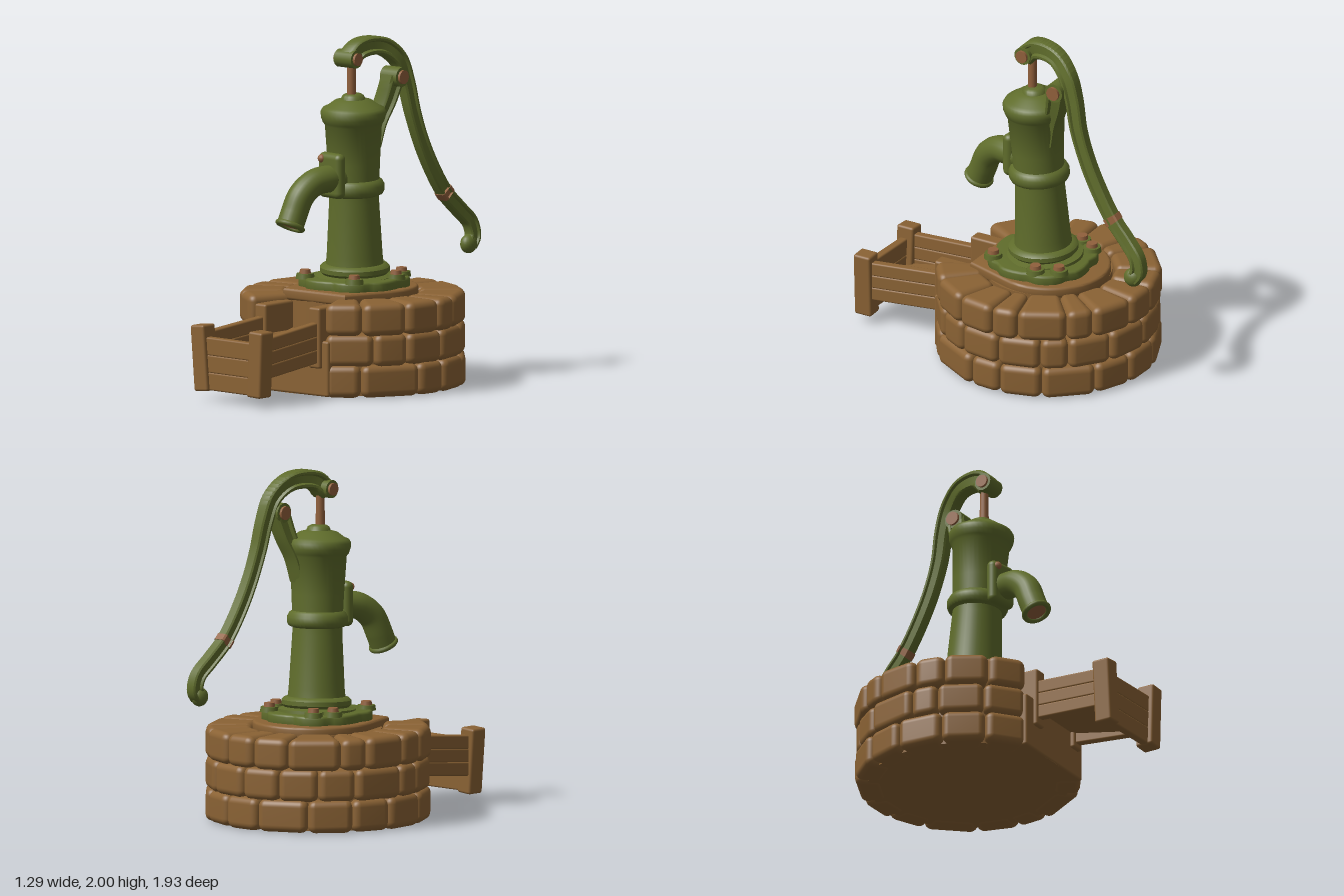
import * as THREE from 'three';
import { mergeVertices, toCreasedNormals } from 'three/addons/utils/BufferGeometryUtils.js';
import { RoundedBoxGeometry } from 'three/addons/geometries/RoundedBoxGeometry.js';

const V = (x, y, z) => new THREE.Vector3(x, y, z);

export function createModel() {
  const model = new THREE.Group();
  const material = (name, color) => {
    const m = new THREE.MeshStandardMaterial({ color });
    m.name = name;
    return m;
  };
  const green = material('green iron', 0x5f6c2b);
  const brown = material('brown stone and wood', 0x8a6234);
  const rust = material('rust', 0x91603c);

  let seed = 7;
  const rand = () => (seed = (seed * 16807) % 2147483647) / 2147483647;

  const add = (name, geo, mat, x = 0, y = 0, z = 0, parent = model) => {
    const mesh = new THREE.Mesh(geo, mat);
    mesh.name = name;
    mesh.position.set(x, y, z);
    parent.add(mesh);
    return mesh;
  };
  const block = (name, w, h, d, x, y, z, r = 0.014) =>
    add(name, new RoundedBoxGeometry(w, h, d, 2, r), brown, x, y, z);
  // Board running from one point to another
  const board = (name, a, b, thick, height) => {
    const c = a.clone().add(b).multiplyScalar(0.5);
    block(name, thick, height, a.distanceTo(b), c.x, c.y, c.z, 0.01).lookAt(b);
  };
  const shapeFrom = (pts) => new THREE.Shape(pts.map(([x, z]) => new THREE.Vector2(x, -z)));
  const slab = (name, pts, mat, y0, y1, bevel) => {
    const geo = new THREE.ExtrudeGeometry(shapeFrom(pts), {
      depth: y1 - y0 - 2 * bevel, bevelThickness: bevel, bevelSize: bevel,
      bevelOffset: -bevel, bevelSegments: 3,
    }).rotateX(-Math.PI / 2);
    return add(name, toCreasedNormals(geo, 0.7), mat, 0, y0 + bevel, 0);
  };

  // Bar with a grooved I section, swept along a curve that bends in the yz plane
  const section = [[1, -0.8], [1, -0.55], [0.62, -0.4], [0.62, 0.4], [1, 0.55], [1, 0.8], [0.75, 1],
    [-0.75, 1], [-1, 0.8], [-1, 0.55], [-0.62, 0.4], [-0.62, -0.4], [-1, -0.55], [-1, -0.8],
    [-0.75, -1], [0.75, -1]];
  const sweep = (curve, steps, t0, t1, halfW, halfH) => {
    const pos = [], idx = [], n = section.length, side = V(1, 0, 0);
    for (let i = 0; i <= steps; i++) {
      const t = t0 + (t1 - t0) * i / steps;
      const p = curve.getPoint(t);
      const normal = curve.getTangent(t).cross(side).normalize();
      section.forEach(([a, b], j) => {
        const q = p.clone().addScaledVector(side, a * halfW(t)).addScaledVector(normal, b * halfH(t));
        pos.push(q.x, q.y, q.z);
        if (i < steps) {
          const k = i * n + j, l = i * n + (j + 1) % n;
          idx.push(k, l, l + n, k, l + n, k + n);
        }
      });
    }
    // End caps
    for (let j = 1; j < n - 1; j++) {
      const e = steps * n;
      idx.push(0, j + 1, j, e, e + j, e + j + 1);
    }
    const geo = new THREE.BufferGeometry();
    geo.setAttribute('position', new THREE.Float32BufferAttribute(pos, 3));
    geo.setIndex(idx);
    return toCreasedNormals(geo, 0.75);
  };

  // Stone: a rounded block bent round the well axis
  const wellZ = -0.17;
  const stone = (angle, span, y, h, outer, depth) => {
    const R = outer - depth / 2;
    let geo = new RoundedBoxGeometry(span * R, h, depth, 4, 0.042);
    geo.deleteAttribute('normal');
    geo.deleteAttribute('uv');
    geo = mergeVertices(geo);
    const p = geo.attributes.position;
    for (let i = 0; i < p.count; i++) {
      const a = angle + p.getX(i) / R, r = R + p.getZ(i);
      p.setXYZ(i, Math.sin(a) * r, p.getY(i), Math.cos(a) * r);
    }
    geo.computeVertexNormals();
    add('wellStone', geo, brown, 0, y, wellZ);
  };
  for (let row = 0; row < 3; row++) {
    const count = [13, 14, 15][row], start = 0.44, total = Math.PI * 2 - 0.9;
    const cuts = [0];
    for (let i = 1; i < count; i++) cuts.push((i + (rand() - 0.5) * 0.4) / count);
    cuts.push(1);
    for (let i = 0; i < count; i++) {
      const a = start + cuts[i] * total, b = start + cuts[i + 1] * total;
      stone((a + b) / 2, b - a + 0.004, 0.09 + row * 0.177, 0.183 + rand() * 0.006,
        0.64 + rand() * 0.01 - (row === 1 ? 0.006 : 0), row === 2 ? 0.27 : 0.16);
    }
  }
  add('wellCore', new THREE.CylinderGeometry(0.575, 0.575, 0.33, 48), brown, 0, 0.168, wellZ);
  add('wellFoot', new THREE.CylinderGeometry(0.366, 0.366, 0.5, 48), brown, 0, 0.27, wellZ);
  block('wellFront', 0.6, 0.32, 0.25, 0, 0.163, 0.285);

  // Stone cover plate with a straight front edge
  const plate = [[-0.21, 0.2], [0.25, 0.2], [0.32, 0.09]];
  for (let i = 0; i <= 24; i++) {
    const a = -0.35 + (Math.PI + 0.7) * i / 24;
    plate.push([0.015 + 0.345 * Math.cos(a), -0.195 - 0.345 * Math.sin(a)]);
  }
  plate.splice(2, 1);
  slab('coverPlate', plate, brown, 0.5, 0.565, 0.015);

  // Lobed iron foot and its bolts
  const lobes = [];
  for (let i = 0; i < 64; i++) {
    const a = i / 64 * Math.PI * 2;
    const r = 0.293 + 0.025 * Math.abs(Math.sin(2 * a)) - 0.022 * Math.pow(Math.cos(4 * a + 0.9), 8);
    lobes.push([0.025 + r * Math.cos(a), -0.15 + r * Math.sin(a)]);
  }
  slab('pumpFoot', lobes, green, 0.55, 0.618, 0.015);
  for (const [x, z] of [[-0.15, -0.37], [-0.21, -0.27], [0.26, -0.24], [-0.16, 0.065], [0.21, 0.07], [0.2, -0.36]]) {
    add('boltBoss', new THREE.CylinderGeometry(0.05, 0.055, 0.03, 16), green, x, 0.625, z);
    add('footBolt', new THREE.CylinderGeometry(0.03, 0.036, 0.035, 12), rust, x, 0.645, z);
  }

  // Pump column, leaning slightly
  const profile = [[0.23, -0.04], [0.225, 0.005], [0.185, 0.015], [0.2, 0.03], [0.2, 0.055], [0.185, 0.07],
    [0.165, 0.075], [0.16, 0.12], [0.143, 0.43], [0.142, 0.47], [0.165, 0.48], [0.175, 0.5], [0.175, 0.53],
    [0.162, 0.555], [0.146, 0.565], [0.15, 0.66], [0.163, 0.88], [0.175, 0.895], [0.185, 0.925],
    [0.187, 0.955], [0.175, 0.975], [0.15, 0.985], [0.11, 1.015], [0.07, 1.025], [0.062, 1.045],
    [0.045, 1.055], [0, 1.058]];
  const column = add('pumpColumn', toCreasedNormals(
    new THREE.LatheGeometry(profile.map(([r, y]) => new THREE.Vector2(r, y)), 40), 0.7),
  green, 0.025, 0.62, -0.155);
  column.rotation.set(0.045, 0, -0.025);
  add('pistonRod', new THREE.CylinderGeometry(0.024, 0.027, 0.26, 16), rust, 0.05, 1.76, -0.095);

  // Spout with wall flange and open mouth
  const spoutEnd = V(-0.055, 0.95, 0.322);
  const spoutPath = new THREE.CatmullRomCurve3([V(0.03, 1.2, -0.05), V(0.02, 1.2, 0.06), V(-0.01, 1.185, 0.16),
    V(-0.035, 1.12, 0.245), V(-0.05, 1.02, 0.292), spoutEnd]);
  add('spout', new THREE.TubeGeometry(spoutPath, 28, 0.078, 20), green);
  const flange = add('spoutFlange', new RoundedBoxGeometry(0.19, 0.26, 0.07, 5, 0.034), green, 0.015, 1.215, 0.035);
  flange.rotation.y = -0.15;
  const lip = new THREE.Group();
  lip.name = 'spoutLip';
  lip.position.copy(spoutEnd);
  lip.quaternion.setFromUnitVectors(V(0, 0, 1), V(-0.06, -0.88, 0.42).normalize());
  model.add(lip);
  add('lipRing', new THREE.TorusGeometry(0.072, 0.016, 10, 24), green, 0, 0, 0, lip);
  add('mouth', new THREE.CircleGeometry(0.072, 24), rust, 0, 0, 0.002, lip);
  add('flangeBolt', new THREE.SphereGeometry(0.024, 12, 8), rust, -0.045, 1.31, 0.055);

  // Handle: a grooved bar arching over and down to a knob
  const handlePath = new THREE.CatmullRomCurve3([V(0.05, 1.87, -0.065), V(0.065, 1.925, -0.12),
    V(0.085, 1.945, -0.2), V(0.115, 1.93, -0.3), V(0.15, 1.85, -0.39), V(0.165, 1.72, -0.44),
    V(0.18, 1.55, -0.478), V(0.19, 1.37, -0.543), V(0.2, 1.2, -0.63), V(0.213, 1.05, -0.73),
    V(0.23, 0.95, -0.83), V(0.25, 0.865, -0.908), V(0.258, 0.785, -0.922), V(0.26, 0.74, -0.89)]);
  const w = (t) => 0.034 + 0.018 * Math.max(0, 1 - 2 * t);
  const h = (t) => 0.042 + 0.016 * Math.max(0, 1 - 2 * t);
  add('handle', sweep(handlePath, 70, 0, 1, w, h), green);
  add('handleBand', sweep(handlePath, 2, 0.68, 0.7, (t) => w(t) + 0.004, (t) => h(t) + 0.004), rust);
  add('handleKnob', new THREE.SphereGeometry(0.055, 20, 14), green, 0.258, 0.745, -0.885).scale.x = 0.8;

  // Bracket and the two pivots
  const bracket = new THREE.CatmullRomCurve3([V(0.08, 1.36, -0.235), V(0.1, 1.5, -0.26),
    V(0.13, 1.62, -0.3), V(0.16, 1.76, -0.335)]);
  add('bracket', sweep(bracket, 16, 0, 1, () => 0.05, (t) => 0.035 + 0.025 * t), green);
  const pivot = (name, x, y, z, r, len) => {
    const g = new THREE.Group();
    g.name = name;
    g.position.set(x, y, z);
    g.rotation.z = Math.PI / 2;
    model.add(g);
    add('pivotHub', new THREE.CylinderGeometry(r, r, len, 20), green, 0, 0, 0, g);
    add('pivotPin', new THREE.CylinderGeometry(r * 0.7, r * 0.7, len + 0.03, 16), rust, 0, 0, 0, g);
  };
  pivot('rodPivot', 0.05, 1.88, -0.065, 0.052, 0.13);
  pivot('handlePivot', 0.165, 1.76, -0.338, 0.057, 0.12);

  // Wooden trough: floor, planked sides, posts and end wall
  board('troughFloor', V(0.02, 0.325, 0.19), V(0.005, 0.18, 0.89), 0.4, 0.04);
  for (const s of [-1, 1]) {
    const x = s * 0.2 + 0.015;
    block('troughRail', 0.085, 0.35, 0.25, x, s > 0 ? 0.34 : 0.325, 0.31);
    for (let i = 0; i < 3; i++) {
      const dy = (i - 1) * 0.077;
      board('troughSidePlank', V(x, 0.315 + dy, 0.4), V(s * 0.222, 0.268 + dy, 0.89), 0.05, 0.08);
    }
    const post = block('troughEndPost', 0.1, 0.38, 0.11, s * 0.215, 0.24, s > 0 ? 0.91 : 0.89);
    post.rotation.z = s > 0 ? -0.04 : 0.08;
  }
  for (let i = 0; i < 3; i++) {
    board('troughEndPlank', V(-0.2, 0.11 + i * 0.1, 0.895), V(0.21, 0.108 + i * 0.1, 0.915), 0.05, 0.104);
  }
  return model;
}
